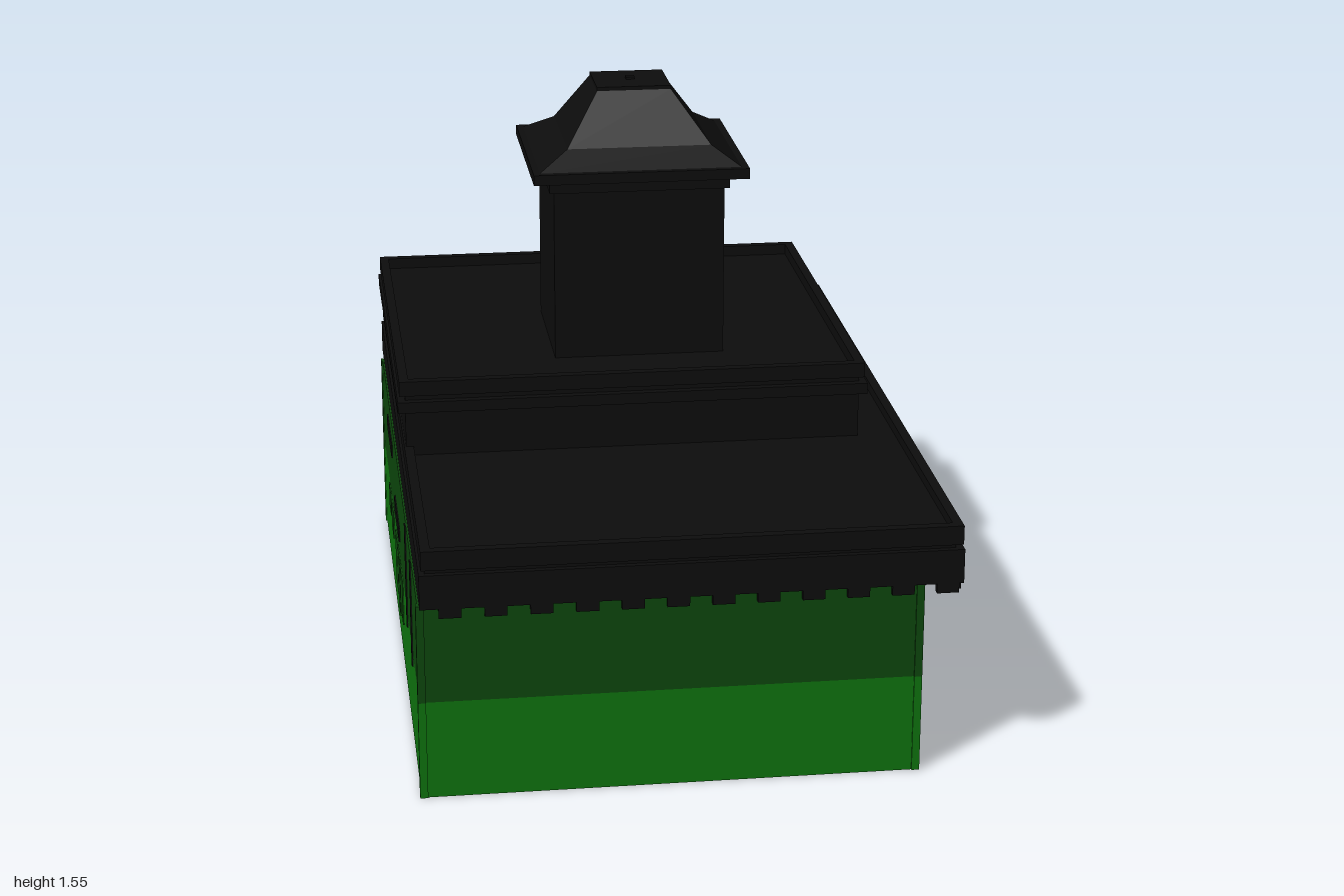
import * as THREE from 'three';

const mat = (name, color) => Object.assign(new THREE.MeshStandardMaterial({ color }), { name });

export function createModel() {
  const model = new THREE.Group();
  model.name = 'building';
  const black = mat('black', 0x0d0d0d);
  const green = mat('green', 0x0f760f);
  const darkGreen = mat('dark green', 0x0d480d);

  // box given by its extents
  function box(name, m, x0, x1, y0, y1, z0, z1, parent = model) {
    const mesh = new THREE.Mesh(new THREE.BoxGeometry(x1 - x0, y1 - y0, z1 - z0), m);
    mesh.position.set((x0 + x1) / 2, (y0 + y1) / 2, (z0 + z1) / 2);
    mesh.name = name;
    parent.add(mesh);
  }

  function group(name) {
    const g = new THREE.Group();
    g.name = name;
    model.add(g);
    return g;
  }

  // raised rim around a rectangular roof
  function rim(name, x0, x1, y0, y1, z0, z1, t) {
    const g = group(name);
    box('rimSide', black, x0, x0 + t, y0, y1, z0, z1, g);
    box('rimSide', black, x1 - t, x1, y0, y1, z0, z1, g);
    box('rimEnd', black, x0 + t, x1 - t, y0, y1, z0, z0 + t, g);
    box('rimEnd', black, x0 + t, x1 - t, y0, y1, z1 - t, z1, g);
  }

  // solid through stacked rectangles [x0, x1, z0, z1, y]
  function stackedSolid(name, sections) {
    const pos = [];
    const corners = ([x0, x1, z0, z1, y]) => [[x0, y, z1], [x1, y, z1], [x1, y, z0], [x0, y, z0]];
    const quad = (a, b, c, d) => pos.push(...a, ...b, ...c, ...a, ...c, ...d);
    for (let s = 0; s < sections.length - 1; s++) {
      const lo = corners(sections[s]), hi = corners(sections[s + 1]);
      for (let i = 0; i < 4; i++) {
        const j = (i + 1) % 4;
        quad(lo[i], lo[j], hi[j], hi[i]);
      }
    }
    quad(...corners(sections[sections.length - 1]));
    quad(...corners(sections[0]).reverse());
    const geo = new THREE.BufferGeometry();
    geo.setAttribute('position', new THREE.Float32BufferAttribute(pos, 3));
    geo.computeVertexNormals();
    const mesh = new THREE.Mesh(geo, black);
    mesh.name = name;
    model.add(mesh);
  }

  // hollow two-tone walls, open underneath, with slim corner posts
  const L = -0.68, R = 0.58, B = -0.89, F = 0.98, T = 0.01;
  for (const [label, m, y0, y1] of [['lower', green, 0, 0.26], ['upper', darkGreen, 0.26, 0.52]]) {
    const g = group(label + 'Walls');
    box('frontWall', m, L, R, y0, y1, F - T, F, g);
    box('backWall', m, L, R, y0, y1, B, B + T, g);
    box('leftWall', m, R - T, R, y0, y1, B + T, F - T, g);
    box('rightWall', m, L, L + T, y0, y1, B + T, F - T, g);
    for (const x of [L + 0.006, R - 0.006])
      for (const z of [B + 0.006, F - 0.006])
        box('cornerPost', m, x - 0.01, x + 0.01, y0, y1, z - 0.01, z + 0.01, g);
  }

  // dark fittings on the right wall
  const fittings = group('rightWallFittings');
  const plate = (name, m, z0, z1, y0, y1) => box(name, m, L - 0.004, L + 0.003, y0, y1, z0, z1, fittings);
  plate('canopy', black, -0.54, -0.28, 0.43, 0.47);
  plate('canopy', black, -0.17, 0.08, 0.32, 0.36);
  plate('panel', darkGreen, -0.53, -0.44, 0.19, 0.26);
  plate('panel', darkGreen, -0.39, -0.29, 0.18, 0.26);
  plate('panel', darkGreen, -0.16, -0.05, 0.11, 0.26);
  plate('panel', darkGreen, -0.03, 0.06, 0.09, 0.26);
  plate('panel', darkGreen, 0.09, 0.21, 0.13, 0.26);
  for (const z of [0.445, 0.69])
    box('verticalBar', black, L - 0.004, L + T + 0.004, 0.23, 0.52, z - 0.008, z + 0.008, fittings);

  // main cornice and roof
  box('corniceBand', black, -0.675, 0.68, 0.515, 0.605, -1, 0.995);
  box('corniceGroove', black, -0.66, 0.66, 0.605, 0.62, -0.98, 0.98);
  box('mainRoof', black, -0.67, 0.675, 0.62, 0.645, -0.995, 1);
  rim('mainRoofRim', -0.67, 0.675, 0.645, 0.67, -0.995, 1, 0.025);

  // rows of small blocks under the cornice
  const dentils = group('dentils');
  const nx = 12, nz = 16;
  for (let i = 0; i < nx; i++) {
    const x = -0.6 + i * (1.24 / (nx - 1));
    for (const z of [-0.985, 0.985])
      box('dentil', black, x - 0.028, x + 0.028, 0.49, 0.516, z - 0.01, z + 0.01, dentils);
  }
  for (let i = 0; i < nz; i++) {
    const z = -0.94 + i * (1.88 / (nz - 1));
    for (const x of [-0.655, 0.668])
      box('dentil', black, x - 0.01, x + 0.01, 0.49, 0.516, z - 0.032, z + 0.032, dentils);
  }

  // upper tier
  box('upperTierBody', black, -0.665, 0.55, 0.64, 0.825, -0.835, 0.27);
  box('upperTierBand', black, -0.685, 0.57, 0.77, 0.8, -0.855, 0.29);
  rim('upperTierRim', -0.68, 0.563, 0.815, 0.855, -0.85, 0.283, 0.025);

  // tower with collar, flared roof and tiny cap
  box('towerShaft', black, -0.245, 0.215, 0.82, 1.3, -0.37, 0.05);
  box('towerCollar', black, -0.257, 0.228, 1.29, 1.33, -0.383, 0.063);
  box('towerEave', black, -0.303, 0.274, 1.327, 1.355, -0.43, 0.11);
  stackedSolid('towerRoof', [
    [-0.285, 0.255, -0.41, 0.09, 1.355],
    [-0.205, 0.183, -0.34, 0.02, 1.4],
    [-0.115, 0.085, -0.25, -0.067, 1.535],
    [-0.115, 0.085, -0.25, -0.067, 1.545],
  ]);
  box('towerCap', black, -0.027, -0.003, 1.54, 1.551, -0.172, -0.148);

  return model;
}
